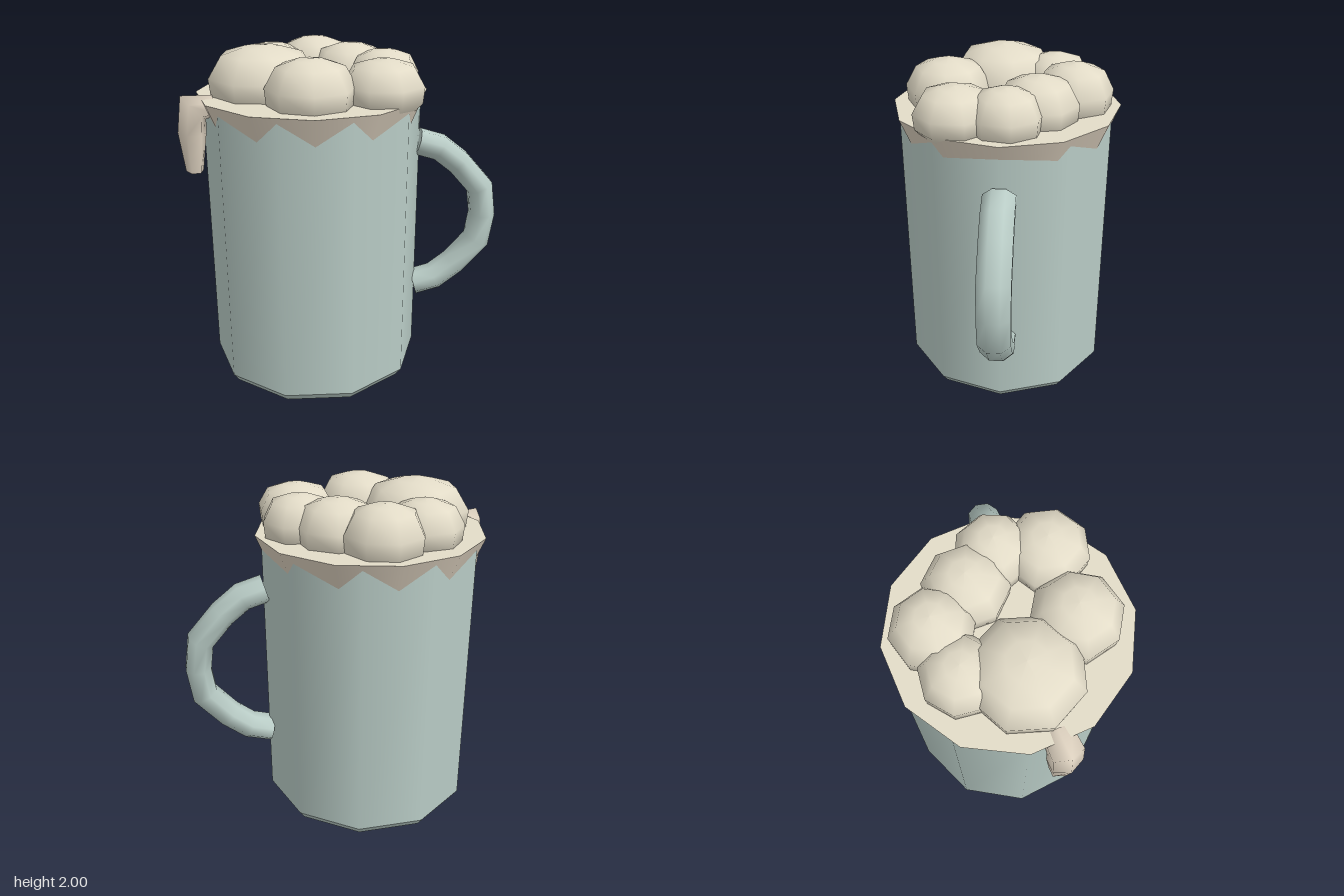
import * as THREE from 'three';

// Sweep an oval section along a path in the xy plane, with mitred bends and closed ends.
// Each path point is [x, y, half thickness, half width in z].
function sweep(path, sides, phase = 0) {
  const pos = [], index = [];
  const last = path.length - 1;
  const rings = path.map(([x, y, r, w], i) => {
    const p = new THREE.Vector2(x, y);
    const at = (k) => new THREE.Vector2(path[k][0], path[k][1]);
    const before = i > 0 ? p.clone().sub(at(i - 1)).normalize() : null;
    const after = i < last ? at(i + 1).sub(p).normalize() : null;
    const t = (before || after).clone().add(after || before).normalize();
    const thick = r / t.dot(after || before);
    return Array.from({ length: sides }, (_, j) => {
      const a = ((j + phase) / sides) * Math.PI * 2;
      const n = Math.cos(a) * thick;
      return [x + t.y * n, y - t.x * n, Math.sin(a) * w];
    });
  });
  rings.forEach((ring) => ring.forEach((v) => pos.push(...v)));
  for (let i = 0; i < last; i++) {
    for (let j = 0; j < sides; j++) {
      const a = i * sides + j, b = i * sides + ((j + 1) % sides);
      index.push(a, a + sides, b, b, a + sides, b + sides);
    }
  }
  // End caps use their own vertices so the rim stays sharp
  [0, last].forEach((i) => {
    const base = pos.length / 3;
    rings[i].forEach((v) => pos.push(...v));
    for (let j = 1; j < sides - 1; j++) {
      if (i === 0) index.push(base, base + j, base + j + 1);
      else index.push(base, base + j + 1, base + j);
    }
  });
  const geo = new THREE.BufferGeometry();
  geo.setAttribute('position', new THREE.Float32BufferAttribute(pos, 3));
  geo.setIndex(index);
  geo.computeVertexNormals();
  return geo;
}

export function createModel() {
  const material = (name, color) => {
    const m = new THREE.MeshStandardMaterial({ color });
    m.name = name;
    return m;
  };
  const glaze = material('paleTealGlaze', 0xb9ccc6);
  const foam = material('creamFoam', 0xe3dcc8);
  const foamEdge = material('foamEdge', 0xded2c0);

  const model = new THREE.Group();
  model.name = 'foamingMug';
  const body = new THREE.Group();
  body.name = 'mugWithFoam';
  body.position.x = -0.185;
  model.add(body);

  const add = (parent, name, geometry, mat) => {
    const mesh = new THREE.Mesh(geometry, mat);
    mesh.name = name;
    parent.add(mesh);
    return mesh;
  };
  // Cylinder section between two heights, with a corner on the x axis
  const section = (name, y0, r0, y1, r1, sides, open, mat) => {
    const geo = new THREE.CylinderGeometry(r1, r0, y1 - y0, sides, 1, open, Math.PI / 2);
    return add(body, name, geo.translate(0, (y0 + y1) / 2, 0), mat);
  };

  // Ten-sided mug with a bevelled foot
  section('mugFoot', 0, 0.6, 0.05, 0.635, 10, false, glaze);
  section('mugWall', 0.05, 0.635, 1.7, 0.635, 10, true, glaze);

  // Flat foam layer whose tapered edge sinks into the mug wall
  section('foamCollar', 1.5, 0.575, 1.73, 0.67, 12, false, [foamEdge, foam, foamEdge]);

  // Handle
  add(model, 'handle', sweep([
    [0.44, 1.41, 0.08, 0.1], [0.575, 1.37, 0.08, 0.1], [0.695, 1.275, 0.08, 0.1],
    [0.835, 1.115, 0.08, 0.1], [0.86, 0.938, 0.08, 0.1], [0.835, 0.76, 0.08, 0.1],
    [0.695, 0.6, 0.08, 0.1], [0.575, 0.505, 0.08, 0.1], [0.44, 0.467, 0.08, 0.1],
  ], 8, 0.5), glaze);

  // Drip of foam hanging over the rim
  const drip = add(body, 'foamDrip', sweep([
    [-0.705, 1.315, 0.05, 0.075], [-0.705, 1.54, 0.08, 0.1],
    [-0.69, 1.68, 0.075, 0.1], [-0.58, 1.685, 0.06, 0.09],
  ], 6), foamEdge);
  drip.rotation.y = 0.26;

  // Foam bubbles: squashed, eight-sided domes
  const profile = [
    [0, -1], [0.6, -0.8], [0.96, -0.3], [1, 0.22], [0.75, 0.78], [0.35, 0.95], [0, 1],
  ].map(([r, y]) => new THREE.Vector2(r, y));
  const bubbleShape = new THREE.LatheGeometry(profile, 8);
  // x, z, radius, half height, turn
  [
    [-0.16, -0.39, 0.23, 0.2, 0.1],
    [-0.42, -0.28, 0.22, 0.18, 0.5],
    [-0.465, 0.04, 0.315, 0.22, 0.3],
    [-0.2, 0.345, 0.25, 0.2, 0.05],
    [0.2, 0.26, 0.235, 0.175, 0.35],
    [0.23, -0.02, 0.215, 0.18, 0.2],
    [0.05, -0.19, 0.235, 0.19, 0.6],
  ].forEach(([x, z, r, h, turn], i) => {
    const bubble = add(model, `foamBubble${i + 1}`, bubbleShape, foam);
    bubble.position.set(x, 1.78, z);
    bubble.scale.set(r, h, r);
    bubble.rotation.y = turn;
  });

  return model;
}
